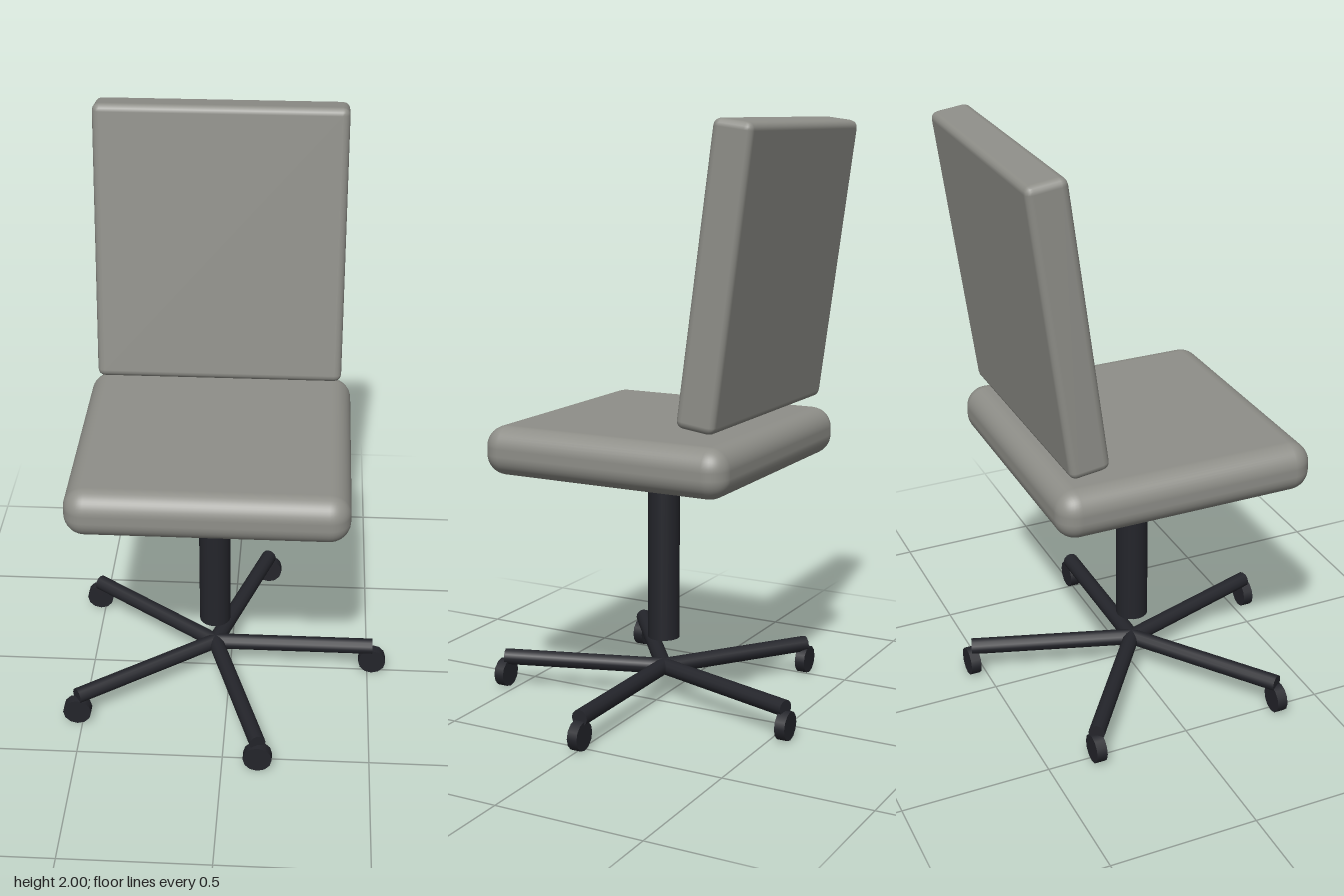
import * as THREE from 'three';
import { RoundedBoxGeometry } from 'three/addons/geometries/RoundedBoxGeometry.js';

export function createModel() {
  const model = new THREE.Group();
  model.name = 'officeChair';
  const cushion = new THREE.MeshStandardMaterial({ color: 0x8f8f89 });
  const dark = new THREE.MeshStandardMaterial({ color: 0x24252b });
  const axisX = -0.055; // swivel axis of the chair

  function add(name, geometry, material, x, y, z, parent = model) {
    const mesh = new THREE.Mesh(geometry, material);
    mesh.name = name;
    mesh.position.set(x, y, z);
    parent.add(mesh);
    return mesh;
  }

  // Cushions
  add('seat', new RoundedBoxGeometry(0.925, 0.165, 0.885, 5, 0.07), cushion, axisX, 0.918, 0);
  const back = add('backrest', new RoundedBoxGeometry(0.85, 0.957, 0.134, 2, 0.025), cushion, axisX, 1.52, -0.389);
  back.rotation.x = -0.132;

  // Central post
  add('post', new THREE.CylinderGeometry(0.055, 0.055, 0.62, 20), dark, axisX, 0.53, 0);

  // Five-armed base; every wheel rolls along x
  const reach = 0.571;
  const legGeometry = new THREE.CylinderGeometry(0.028, 0.028, reach, 12);
  legGeometry.rotateZ(Math.PI / 2).translate(reach / 2, 0, 0);
  const wheelGeometry = new THREE.CylinderGeometry(0.049, 0.049, 0.036, 12);
  wheelGeometry.rotateX(Math.PI / 2);
  const base = new THREE.Group();
  base.name = 'base';
  base.position.x = axisX;
  model.add(base);
  for (let i = 0; i < 5; i++) {
    const angle = (i * Math.PI * 2) / 5;
    const leg = add('leg', legGeometry, dark, 0, 0.111, 0, base);
    leg.rotation.y = -angle;
    add('wheel', wheelGeometry, dark, reach * Math.cos(angle), 0.053, reach * Math.sin(angle), base);
  }
  return model;
}
